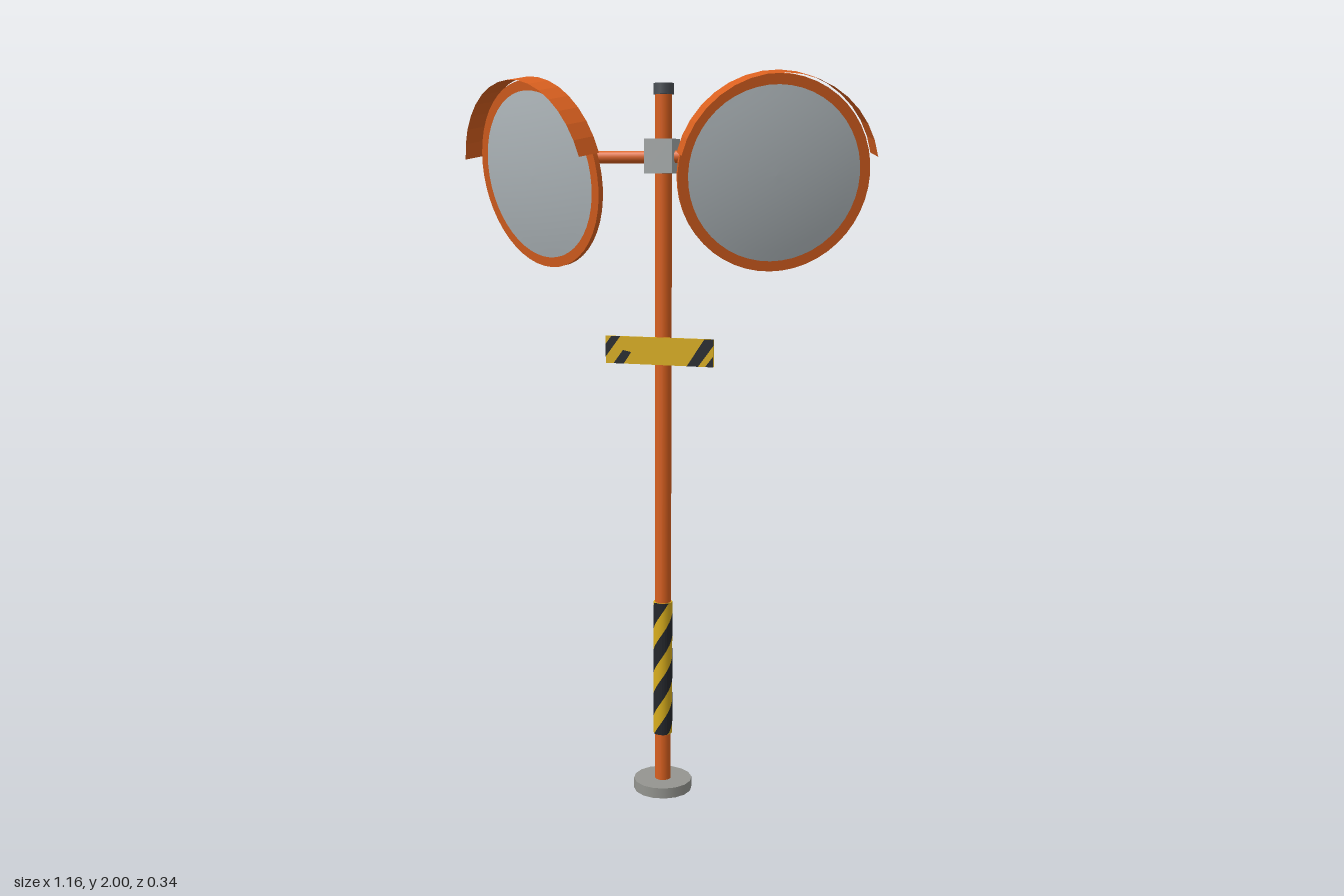
import * as THREE from 'three';

const mat = (name, color, extra = {}) => {
  const m = new THREE.MeshStandardMaterial({ color, ...extra });
  m.name = name;
  return m;
};

export function createModel() {
  const root = new THREE.Group();
  root.name = 'trafficMirror';
  const orange = mat('orangePaint', 0xd9601f);
  const orangeFlat = mat('orangeVisor', 0xd9601f, { side: THREE.DoubleSide, flatShading: true });
  const glass = mat('mirrorGlass', 0xb4bcc0);
  const steel = mat('steel', 0xa3a8a8);
  const concrete = mat('concrete', 0x949590);
  const capGrey = mat('darkCap', 0x4a4f56);
  const yellow = mat('warningYellow', 0xd8ad1c);
  const black = mat('warningBlack', 0x24272c, { side: THREE.DoubleSide });

  const add = (parent, name, geo, material, x = 0, y = 0, z = 0) => {
    const mesh = new THREE.Mesh(geo, material);
    mesh.name = name;
    mesh.position.set(x, y, z);
    parent.add(mesh);
    return mesh;
  };
  const box = (w, h, d) => new THREE.BoxGeometry(w, h, d);
  const tube = (r, y0, y1, sides) =>
    new THREE.CylinderGeometry(r, r, y1 - y0, sides).translate(0, (y0 + y1) / 2, 0);

  // Pole, base, cap
  const PZ = -0.09;
  add(root, 'base', tube(0.083, 0, 0.03, 16), concrete, 0, 0, PZ);
  add(root, 'pole', tube(0.023, 0, 1.96, 12), orange, 0, 0, PZ);
  add(root, 'poleCap', tube(0.028, 1.953, 1.982, 12), capGrey, 0, 0, PZ);

  // Sleeve with helical stripes
  const S0 = 0.168, S1 = 0.558, SR = 0.0265;
  add(root, 'sleeve', tube(SR, S0, S1, 24), yellow, 0, 0, PZ);
  const pitch = 0.13, bandHeight = 0.068, sides = 24, verts = [];
  const onSleeve = (a, y) => [
    Math.sin(a) * (SR + 0.001), THREE.MathUtils.clamp(y, S0, S1), Math.cos(a) * (SR + 0.001)];
  for (let k = -2; k < 6; k++) {
    for (let i = 0; i < sides; i++) {
      const a = (i / sides) * Math.PI * 2, b = ((i + 1) / sides) * Math.PI * 2;
      const ya = k * pitch + (i / sides) * pitch * 2;
      const yb = ya + (pitch * 2) / sides;
      if (yb + bandHeight <= S0 || ya >= S1) continue;
      const p = onSleeve(a, ya), q = onSleeve(b, yb);
      const r = onSleeve(b, yb + bandHeight), t = onSleeve(a, ya + bandHeight);
      verts.push(...p, ...q, ...r, ...p, ...r, ...t);
    }
  }
  const stripes = new THREE.BufferGeometry();
  stripes.setAttribute('position', new THREE.Float32BufferAttribute(verts, 3));
  stripes.computeVertexNormals();
  add(root, 'sleeveStripes', stripes, black, 0, 0, PZ);

  // Warning sign
  const sign = new THREE.Group();
  sign.name = 'warningSign';
  sign.position.set(0, 1.272, -0.057);
  root.add(sign);
  add(sign, 'signFace', box(0.31, 0.075, 0.006), yellow, 0, 0, 0.001);
  add(sign, 'signBack', box(0.309, 0.074, 0.003), steel, 0, 0, -0.003);
  add(sign, 'signClip', box(0.055, 0.03, 0.02), steel, 0, 0, -0.013);
  const h = 0.0375;
  const signStripes = [
    [[0.08, -h], [0.112, -h], [0.155, 0.02], [0.155, h], [0.13, h]],
    [[0.132, -h], [0.155, -h], [0.155, -0.008]],
    [[-0.155, -0.02], [-0.112, h], [-0.138, h], [-0.155, 0.015]],
    [[-0.132, -h], [-0.102, -h], [-0.08, -0.005], [-0.104, 0]],
  ];
  for (const pts of signStripes) {
    const shape = new THREE.Shape(pts.map(([x, y]) => new THREE.Vector2(x, y)));
    add(sign, 'signStripe', new THREE.ShapeGeometry(shape), black, 0, 0, 0.0052);
  }

  // Crossbar and clamp
  add(root, 'crossbar', new THREE.CylinderGeometry(0.017, 0.017, 0.715, 10).rotateZ(Math.PI / 2),
    orange, 0, 1.79, -0.077);
  add(root, 'crossbarClamp', box(0.078, 0.09, 0.066), steel, 0, 1.792, -0.078);

  // Turned parts whose axis points along +z
  const lathe = (pts) => new THREE.LatheGeometry(
    pts.map(([r, z]) => new THREE.Vector2(r, z)), 48).rotateX(Math.PI / 2);
  const bulge = (r, z0, depth, n = 8) => Array.from({ length: n + 1 }, (_, i) => {
    const t = i / n;
    return [r * t, z0 + depth * (1 - t * t)];
  });

  // Two mirror heads, turned outward and tipped down
  for (const s of [1, -1]) {
    const head = new THREE.Group();
    head.name = s > 0 ? 'leftMirror' : 'rightMirror';
    head.position.set(s * 0.323, 1.745, -0.018);
    head.rotation.y = s * THREE.MathUtils.degToRad(28.8);
    root.add(head);

    const dish = new THREE.Group();
    dish.name = 'dish';
    dish.rotation.x = THREE.MathUtils.degToRad(10);
    head.add(dish);
    add(dish, 'backShell', lathe(bulge(0.252, 0, -0.05)), orange);
    add(dish, 'rimSide', lathe([[0.252, 0], [0.252, 0.015]]), orange);
    add(dish, 'rimFront', lathe([[0.252, 0.015], [0.224, 0.015]]), orange);
    add(dish, 'glass', lathe(bulge(0.225, 0.0155, 0.018).reverse()), glass);

    // Visor hood over the upper arc
    const start = THREE.MathUtils.degToRad(12);
    const hood = new THREE.CylinderGeometry(0.259, 0.259, 0.067, 16, 1, true,
      Math.PI / 2 + start, Math.PI - 2 * start);
    hood.rotateX(Math.PI / 2);
    add(dish, 'visor', hood, orangeFlat, 0, 0, 0.0335);

    // Bracket joining the shell to the crossbar
    add(head, 'bracketBar', box(0.03, 0.18, 0.03), steel, 0, 0.015, -0.062);
    add(head, 'bracketPlate', box(0.1, 0.05, 0.014), steel, 0, 0.03, -0.054);
  }
  return root;
}
